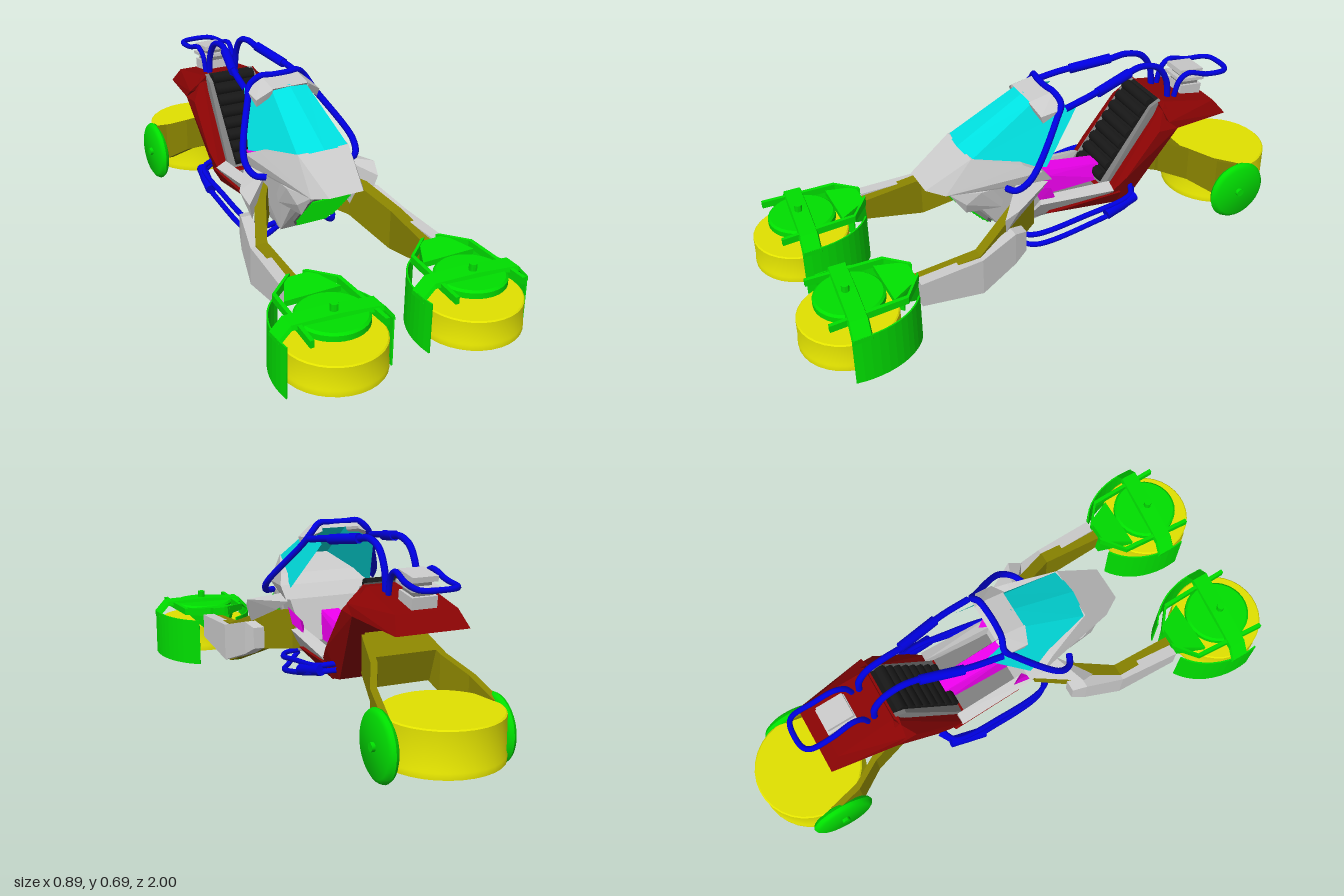
import * as THREE from 'three';
import { toCreasedNormals } from 'three/addons/utils/BufferGeometryUtils.js';
import { ConvexGeometry } from 'three/addons/geometries/ConvexGeometry.js';

const mat = (color) => new THREE.MeshStandardMaterial({ color });
const grey = mat(0xcccccc), dark = mat(0x808080), black = mat(0x181818), red = mat(0x8b0404), blue = mat(0x0000e0);
const yellow = mat(0xe2e200), olive = mat(0x8a8400), green = mat(0x00e000), magenta = mat(0xf000f0), cyan = mat(0x00e2e2);
cyan.side = THREE.DoubleSide;
const V = (p) => new THREE.Vector3(...p);

function add(parent, name, geo, material) {
  const mesh = new THREE.Mesh(geo, material);
  mesh.name = name;
  parent.add(mesh);
  return mesh;
}
const hull = (pts) => new ConvexGeometry(pts.map(V));
// mirror points given on the +x side
const sym = (pts) => hull(pts.flatMap(([x, y, z]) => [[x, y, z], [-x, y, z]]));

// faceted skin through equal cross-sections; closed ones get end caps
function loft(rows, closed = true) {
  const tris = [], n = rows[0].length, m = closed ? n : n - 1;
  for (let i = 0; i + 1 < rows.length; i++) {
    for (let j = 0; j < m; j++) {
      const k = (j + 1) % n, a = rows[i], b = rows[i + 1];
      tris.push([a[j], a[k], b[k]], [a[j], b[k], b[j]]);
    }
  }
  if (closed) {
    const f = rows[0], l = rows[rows.length - 1];
    for (let j = 1; j < n - 1; j++) tris.push([f[0], f[j + 1], f[j]], [l[0], l[j], l[j + 1]]);
  }
  const volume = tris.reduce((s, [a, b, c]) => s + V(a).dot(V(b).cross(V(c))), 0);
  if (volume < 0) tris.forEach((t) => t.reverse());
  const g = new THREE.BufferGeometry();
  g.setAttribute('position', new THREE.Float32BufferAttribute(tris.flat(2), 3));
  g.computeVertexNormals();
  return g;
}
// flat limb along z: stations are [x, yTop, yBottom, z]
const limb = (stations, s, w) => loft(stations.map(([x, t, b, z]) =>
  [[s * x - w, b, z], [s * x + w, b, z], [s * x + w, t, z], [s * x - w, t, z]]));

const tube = (pts, r = 0.012) =>
  new THREE.TubeGeometry(new THREE.CatmullRomCurve3(pts.map(V), false, 'centripetal'), pts.length * 7, r, 8);

function rod(a, b, r, sides = 10) {
  const d = V(b).sub(V(a)), g = new THREE.CylinderGeometry(r, r, d.length(), sides);
  g.applyQuaternion(new THREE.Quaternion().setFromUnitVectors(new THREE.Vector3(0, 1, 0), d.clone().normalize()));
  const c = V(a).addScaledVector(d, 0.5);
  return toCreasedNormals(g.translate(c.x, c.y, c.z), 0.8);
}
const lathe = (p, sides = 32) =>
  toCreasedNormals(new THREE.LatheGeometry(p.map(([x, y]) => new THREE.Vector2(x, y)), sides), 0.6);

// ducted fan, open underneath with a blunt conical hub
const fan = (r, top, bottom) => lathe([[0, bottom - 0.034], [0.014, bottom - 0.03], [r * 0.2, bottom], [r * 0.48, bottom + 0.055],
  [r * 0.88, bottom + 0.06], [r * 0.93, bottom], [r, bottom], [r, bottom + 0.02], [r * 0.985, bottom + 0.025],
  [r * 0.985, top - 0.004], [r * 0.96, top], [0, top]]);

function frontPod() {
  const pod = new THREE.Group();
  pod.name = 'frontPod';
  add(pod, 'fan', fan(0.173, 0.17, 0.065), yellow);
  add(pod, 'spindle', rod([0, 0.16, -0.01], [0, 0.22, -0.01], 0.035, 12), green);
  add(pod, 'topDisc', lathe([[0, 0.208], [0.105, 0.208], [0.12, 0.215], [0.12, 0.235], [0.112, 0.242], [0, 0.242]]), green).position.z = -0.01;
  add(pod, 'bolt', rod([0, 0.235, 0], [0, 0.28, 0], 0.014), green);
  add(pod, 'bridge', loft([[-0.19, 0.205], [-0.15, 0.25], [0, 0.256], [0.15, 0.25], [0.19, 0.205]].map(([x, y]) => {
    const z = x * 0.1 - 0.005;
    return [[x, y - 0.016, z - 0.035], [x, y - 0.016, z + 0.035], [x, y, z + 0.03], [x, y, z - 0.03]];
  })), green);
  add(pod, 'yoke', hull([[-0.035, 0.15, -0.24], [0.035, 0.15, -0.24], [-0.05, 0.255, -0.23], [0.05, 0.255, -0.23],
    [-0.1, 0.22, -0.13], [0.1, 0.22, -0.13], [-0.1, 0.24, -0.13], [0.1, 0.24, -0.13]]), green);
  for (const s of [1, -1]) {
    // curved guard beside the fan
    const rows = [];
    for (let i = 0; i <= 11; i++) {
      const a = 0.43 + i * 0.122, x = s * Math.sin(a), z = -Math.cos(a);
      rows.push([[x * 0.19, 0.207, z * 0.247], [x * 0.19, 0.025, z * 0.247], [x * 0.185, 0.025, z * 0.241], [x * 0.185, 0.207, z * 0.241]]);
    }
    add(pod, 'guard', loft(rows), green);
    add(pod, 'rail', limb([[0.03, 0.26, 0.225, -0.24], [0.115, 0.25, 0.225, -0.17], [0.128, 0.245, 0.22, 0.1]], s, 0.007), green);
  }
  return pod;
}

export function createModel() {
  const g = new THREE.Group();
  g.name = 'hoverVehicle';

  // nose and cabin
  add(g, 'noseCowl', sym([[0.065, 0.415, 0.46], [0.1, 0.395, 0.4], [0.098, 0.515, 0.3], [0.16, 0.475, 0.13],
    [0.185, 0.445, 0.07], [0.18, 0.4, 0.03], [0.14, 0.39, 0.2]]), grey);
  add(g, 'lowerNose', sym([[0.08, 0.39, 0.36], [0.112, 0.345, 0.3], [0.095, 0.17, 0.17], [0.1, 0.2, 0],
    [0.13, 0.3, 0.03], [0.155, 0.4, 0.06], [0.13, 0.4, 0.25]]), grey);
  add(g, 'grilleFrame', sym([[0.065, 0.385, 0.378], [0.085, 0.345, 0.345], [0.08, 0.23, 0.24], [0.06, 0.2, 0.215], [0.07, 0.28, 0.2]]), dark);
  for (let i = 0; i < 13; i++) {
    const slat = add(g, 'grilleSlat', new THREE.BoxGeometry(i > 10 ? 0.12 : 0.145, 0.0095, 0.03), green);
    slat.position.set(0, 0.355 - i * 0.012, 0.35 - i * 0.0112);
  }
  add(g, 'noseSlit', new THREE.BoxGeometry(0.13, 0.014, 0.05), green).position.set(0, 0.39, 0.355);
  add(g, 'windshield', loft([
    [[-0.158, 0.44, 0.04], [-0.098, 0.51, 0.3], [0, 0.516, 0.31], [0.098, 0.51, 0.3], [0.158, 0.44, 0.04]],
    [[-0.1, 0.62, -0.11], [-0.068, 0.655, 0.05], [0, 0.665, 0.05], [0.068, 0.655, 0.05], [0.1, 0.62, -0.11]]], false), cyan);
  add(g, 'roof', sym([[0.07, 0.662, 0.06], [0.07, 0.68, -0.03], [0.07, 0.665, -0.05], [0.07, 0.65, 0.05]]), grey);

  // cockpit
  add(g, 'console', sym([[0.035, 0.36, 0.13], [0.04, 0.315, -0.03], [0.03, 0.3, -0.25], [0.045, 0.24, -0.26], [0.045, 0.24, 0.1]]), magenta);
  add(g, 'floor', sym([[0.11, 0.245, 0.1], [0.13, 0.235, -0.28], [0.13, 0.2, -0.28], [0.1, 0.2, 0.1]]), dark);
  add(g, 'seatFrame', sym([[0.115, 0.25, -0.22], [0.1, 0.53, -0.42], [0.1, 0.55, -0.46], [0.115, 0.25, -0.3]]), dark);
  add(g, 'seatPad', sym([[0.085, 0.26, -0.22], [0.085, 0.53, -0.413], [0.085, 0.55, -0.46], [0.085, 0.26, -0.3]]), black);
  for (let i = 0; i < 8; i++) {
    const t = i / 7, y = 0.275 + 0.262 * t, z = -0.236 - 0.19 * t;
    add(g, 'seatRoll', rod([-0.085, y, z], [0.085, y, z], 0.021, 8), black);
  }

  // red hull
  add(g, 'backShell', sym([[0.13, 0.18, -0.26], [0.13, 0.195, -0.33], [0.165, 0.455, -0.5], [0.11, 0.545, -0.47],
    [0.165, 0.46, -0.42], [0.165, 0.3, -0.29], [0.15, 0.24, -0.23]]), red);
  add(g, 'tail', sym([[0.1, 0.545, -0.45], [0.165, 0.49, -0.46], [0.165, 0.455, -0.5], [0.11, 0.497, -0.69],
    [0.13, 0.44, -0.735], [0.1, 0.47, -0.5]]), red);
  add(g, 'belly', sym([[0.1, 0.2, 0.02], [0.14, 0.225, 0.01], [0.13, 0.18, -0.27], [0.16, 0.24, -0.27]]), red);

  // tail engine
  for (const [w, y, h, d] of [[0.09, 0.52, 0.05, 0.09], [0.07, 0.552, 0.03, 0.075], [0.1, 0.57, 0.012, 0.11], [0.06, 0.582, 0.02, 0.07], [0.09, 0.6, 0.018, 0.1]]) {
    const plate = add(g, 'engineBlock', new THREE.BoxGeometry(w, h, d), w > 0.085 ? grey : dark);
    plate.position.set(0, y, -0.63);
    plate.rotation.x = -0.12;
  }

  // roll bars
  const hoop = [[0.165, 0.405, 0.2], [0.2, 0.41, 0.18], [0.215, 0.45, 0.13], [0.13, 0.61, -0.015], [0.11, 0.65, -0.04], [0.075, 0.681, -0.03], [0.03, 0.68, -0.025]];
  const mirrored = (pts) => [...pts, ...pts.map(([x, y, z]) => [-x, y, z]).reverse()];
  add(g, 'canopyHoop', tube(mirrored(hoop), 0.012), blue);
  add(g, 'tailLoop', tube(mirrored([[0.06, 0.52, -0.545], [0.062, 0.585, -0.565], [0.065, 0.61, -0.6],
    [0.07, 0.59, -0.68], [0.066, 0.583, -0.76], [0.045, 0.583, -0.78]]), 0.01), blue);

  // rear drive
  add(g, 'rearFan', fan(0.199, 0.217, 0.065), yellow).position.z = -0.8;
  add(g, 'rearArmRoot', sym([[0.09, 0.4, -0.42], [0.07, 0.27, -0.37], [0.12, 0.33, -0.56], [0.11, 0.22, -0.53]]), olive);

  for (const s of [1, -1]) {
    const side = (pts) => pts.map(([x, y, z]) => [s * x, y, z]);
    add(g, 'roofFlank', hull(side([[0.07, 0.662, 0.065], [0.07, 0.68, -0.03], [0.07, 0.655, -0.05], [0.125, 0.625, 0.045],
      [0.125, 0.635, -0.04], [0.12, 0.595, 0.035], [0.07, 0.635, 0.055]])), grey);
    add(g, 'sidePanel', hull(side([[0.15, 0.36, 0.09], [0.145, 0.3, 0.06], [0.13, 0.28, -0.01], [0.135, 0.33, 0.01], [0.1, 0.3, 0.05]])), magenta);
    add(g, 'noseCheek', hull(side([[0.09, 0.39, 0.385], [0.095, 0.3, 0.325], [0.115, 0.345, 0.33], [0.13, 0.39, 0.28], [0.12, 0.3, 0.2], [0.13, 0.39, 0.18]])), grey);
    add(g, 'sill', hull(side([[0.1, 0.2, 0.1], [0.15, 0.28, 0.06], [0.16, 0.255, -0.24], [0.12, 0.2, -0.25], [0.11, 0.29, 0.04], [0.12, 0.275, -0.24]])), grey);

    add(g, 'roofRail', tube(side([[0.12, 0.63, -0.05], [0.105, 0.65, -0.17], [0.065, 0.672, -0.33], [0.057, 0.682, -0.4],
      [0.056, 0.66, -0.47], [0.056, 0.6, -0.51], [0.056, 0.52, -0.52]])), blue);
    add(g, 'railPad', rod(...side([[0.102, 0.65, -0.19], [0.066, 0.674, -0.34]]), 0.018), blue);
    add(g, 'sidePipe', tube(side([[0.09, 0.18, 0.13], [0.14, 0.175, 0.13], [0.17, 0.175, 0.09], [0.195, 0.21, -0.1], [0.19, 0.24, -0.29], [0.14, 0.25, -0.32]]), 0.01), blue);
    add(g, 'lowerPipe', tube(side([[0.09, 0.17, 0.14], [0.14, 0.13, 0.12], [0.17, 0.128, 0.08], [0.2, 0.17, -0.11], [0.2, 0.215, -0.28], [0.14, 0.23, -0.33]]), 0.01), blue);
    add(g, 'pipePad', rod(...side([[0.21, 0.2, -0.18], [0.19, 0.23, -0.31]]), 0.02), blue);

    add(g, 'rearFork', limb([[0.1, 0.38, 0.25, -0.46], [0.125, 0.32, 0.19, -0.58], [0.175, 0.27, 0.12, -0.68], [0.195, 0.22, 0.1, -0.8]], s, 0.012), olive);
    const wheel = add(g, 'rearWheel', lathe([[0, -0.018], [0.1, -0.018], [0.113, -0.01], [0.118, 0], [0.113, 0.01], [0.1, 0.018], [0, 0.018]]), green);
    wheel.position.set(s * 0.202, 0.12, -0.775);
    wheel.rotation.z = Math.PI / 2;
    add(g, 'rearHub', rod([s * 0.17, 0.12, -0.775], [s * 0.232, 0.12, -0.775], 0.015), green);

    add(g, 'frontArm', limb([[0.115, 0.35, 0.2, 0.08], [0.19, 0.325, 0.18, 0.2], [0.265, 0.25, 0.1, 0.36], [0.262, 0.225, 0.15, 0.6]], s, 0.022), olive);
    add(g, 'armCover', limb([[0.235, 0.27, 0.19, 0.17], [0.252, 0.285, 0.16, 0.22], [0.285, 0.245, 0.105, 0.36], [0.298, 0.235, 0.145, 0.59]], s, 0.021), grey);
    add(g, 'shoulderFin', hull(side([[0.14, 0.4, 0.15], [0.17, 0.39, 0.04], [0.268, 0.375, 0.2], [0.24, 0.28, 0.24], [0.255, 0.34, 0.25], [0.19, 0.35, 0.1]])), grey);
    const pod = frontPod();
    pod.position.set(s * 0.254, 0, 0.827);
    g.add(pod);
  }
  return g;
}
